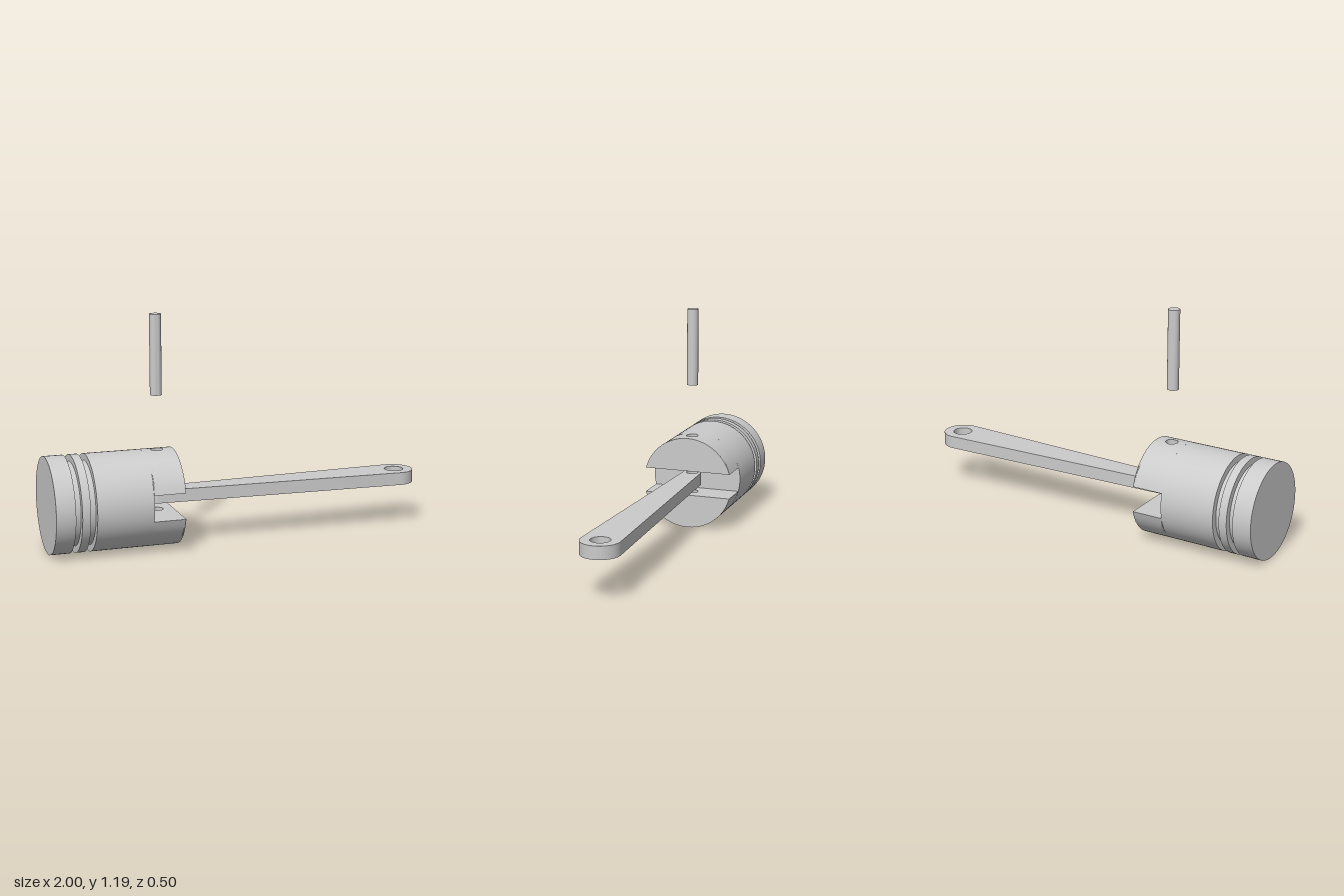
import * as THREE from 'three';
import { toCreasedNormals } from 'three/addons/utils/BufferGeometryUtils.js';

const R = 0.248;             // piston radius; also the height of its axis
const SLOT = 0.067;          // half height of the slot
const X0 = -1, XSLOT = -0.505, X1 = -0.34;
const PIN_X = -0.424, HOLE = 0.032;

const material = new THREE.MeshStandardMaterial({ color: 0xcccccc });

function part(name, geometry) {
  const mesh = new THREE.Mesh(toCreasedNormals(geometry, 0.5), material);
  mesh.name = name;
  return mesh;
}

// Solid end of the piston with two ring grooves, turned around the x axis
function pistonBody() {
  const g = 0.214;
  const profile = [
    [0, X0], [R, X0], [R, -0.902], [g, -0.902], [g, -0.87], [R, -0.87],
    [R, -0.828], [g, -0.828], [g, -0.795], [R, -0.795], [R, XSLOT], [0, XSLOT],
  ].map(([r, x]) => new THREE.Vector2(r, x));
  return new THREE.LatheGeometry(profile, 72).rotateZ(-Math.PI / 2);
}

// Half of the fork: flat inside, cylindrical outside, pierced by the pin hole.
// Rings of points run from the hole out to the rectangular edge and back.
function jawGeometry() {
  const hz = Math.sqrt(R * R - SLOT * SLOT);
  const hx = (X1 - XSLOT) / 2, cx = (X1 + XSLOT) / 2;
  const edge = [];
  const side = (ax, az, bx, bz, n) => {
    for (let i = 0; i < n; i++) {
      const t = i / n;
      edge.push([ax + (bx - ax) * t, az + (bz - az) * t]);
    }
  };
  side(1, -1, 1, 1, 32);
  side(1, 1, -1, 1, 8);
  side(-1, 1, -1, -1, 32);
  side(-1, -1, 1, -1, 8);

  const steps = 20;
  const rings = [[0, false]];
  for (let i = 0; i <= steps; i++) rings.push([i / steps, true]);
  rings.push([1, false]);

  const n = edge.length, positions = [], index = [];
  for (const [s, outer] of rings) {
    for (const [ex, ez] of edge) {
      const a = Math.atan2(ez, ex);
      const x = THREE.MathUtils.lerp(PIN_X + HOLE * Math.cos(a), cx + hx * ex, s);
      const z = THREE.MathUtils.lerp(HOLE * Math.sin(a), hz * ez, s);
      positions.push(x, outer ? Math.sqrt(R * R - z * z) : SLOT, z);
    }
  }
  for (let i = 0; i < rings.length; i++) {
    const k = (i + 1) % rings.length;
    for (let j = 0; j < n; j++) {
      const m = (j + 1) % n;
      const a = i * n + j, b = i * n + m, c = k * n + j, d = k * n + m;
      index.push(a, b, c, b, d, c);
    }
  }
  const geometry = new THREE.BufferGeometry();
  geometry.setAttribute('position', new THREE.Float32BufferAttribute(positions, 3));
  geometry.setIndex(index);
  return geometry;
}

// Flat tapered bar with a round eye at each end
function rodGeometry() {
  const xa = -0.42, ra = 0.05, xb = 0.9, rb = 0.1;
  const t = Math.acos((ra - rb) / (xb - xa));
  const shape = new THREE.Shape();
  shape.absarc(xa, 0, ra, t, 2 * Math.PI - t, false);
  shape.absarc(xb, 0, rb, -t, t, false);
  shape.closePath();
  for (const [x, r] of [[PIN_X, HOLE], [xb, 0.05]]) {
    const hole = new THREE.Path();
    hole.absarc(x, 0, r, 0, Math.PI * 2, true);
    shape.holes.push(hole);
  }
  return new THREE.ExtrudeGeometry(shape, { depth: 0.067, bevelEnabled: false, curveSegments: 32 })
    .rotateX(-Math.PI / 2);
}

export function createModel() {
  const model = new THREE.Group();
  model.name = 'pistonAssembly';

  // Piston with its forked end
  const piston = new THREE.Group();
  piston.name = 'piston';
  piston.position.y = R;
  piston.add(part('pistonBody', pistonBody()));
  piston.add(part('upperJaw', jawGeometry()));
  piston.add(part('lowerJaw', jawGeometry().rotateX(Math.PI)));
  model.add(piston);

  // Connecting rod lying in the slot
  const rod = part('connectingRod', rodGeometry());
  rod.position.y = 0.222;
  model.add(rod);

  // Wrist pin raised above its hole
  const pin = part('wristPin', new THREE.CylinderGeometry(0.03, 0.03, 0.412, 40));
  pin.position.set(PIN_X, 0.982, 0);
  model.add(pin);

  return model;
}
